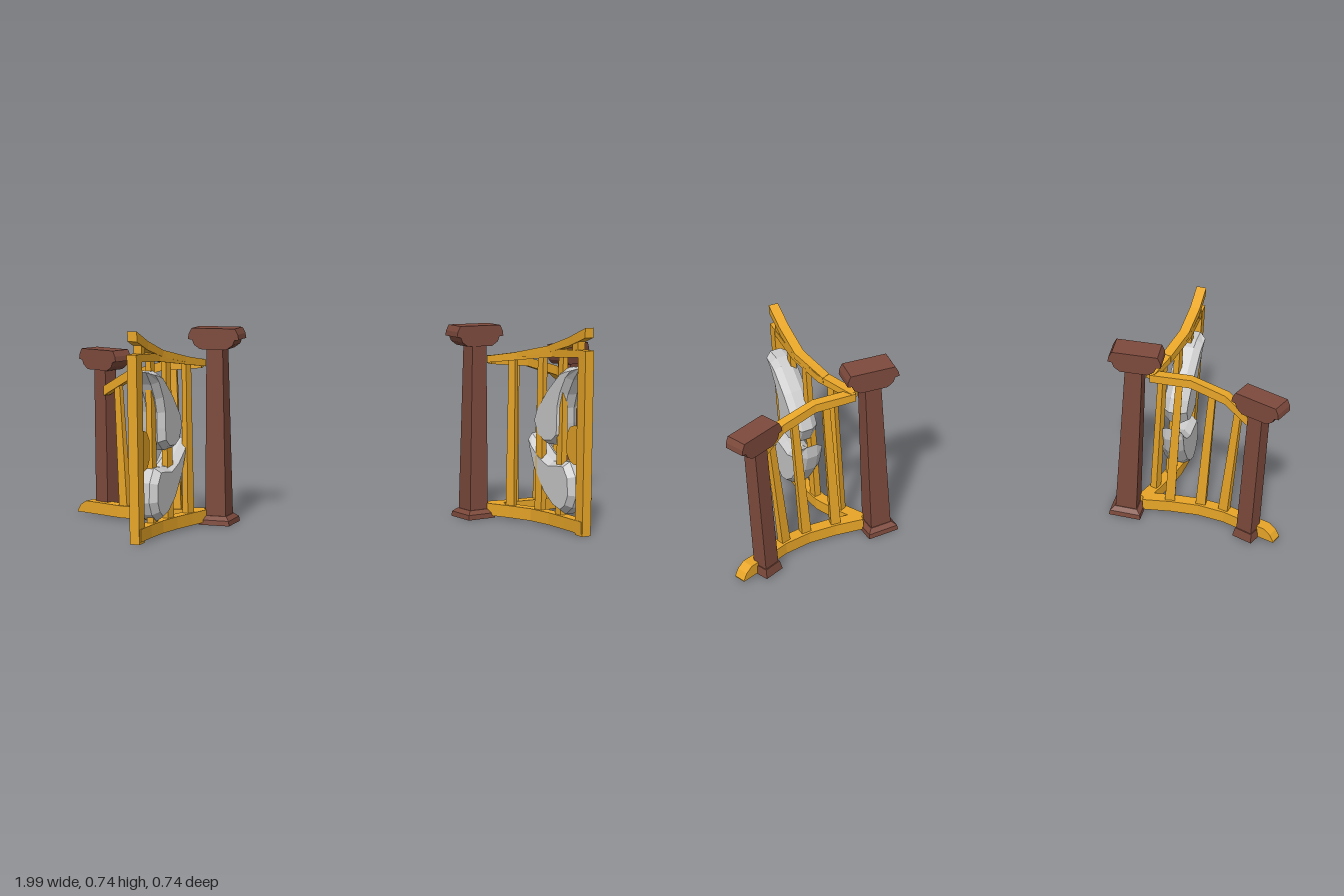
import * as THREE from 'three';

const mat = c => new THREE.MeshStandardMaterial({ color: c, flatShading: true });

// Sweeps a rectangle along a plan curve; sections are [t, bottom, top]
function rail(curve, sections, width) {
  const rings = sections.map(([t, lo, hi]) => {
    const p = curve.getPointAt(t), d = curve.getTangentAt(t);
    const r = new THREE.Vector3(-d.z, 0, d.x).multiplyScalar(width / 2);
    return [[-1, lo], [1, lo], [1, hi], [-1, hi]].map(([s, y]) => [p.x + s * r.x, y, p.z + s * r.z]);
  });
  const pos = [];
  const quad = (a, b, c, d) => pos.push(...a, ...b, ...c, ...a, ...c, ...d);
  quad(...rings[0]);
  quad(...[...rings[rings.length - 1]].reverse());
  for (let i = 0; i < rings.length - 1; i++) {
    const a = rings[i], b = rings[i + 1];
    for (let k = 0; k < 4; k++) quad(a[k], b[k], b[(k + 1) % 4], a[(k + 1) % 4]);
  }
  const g = new THREE.BufferGeometry();
  g.setAttribute('position', new THREE.Float32BufferAttribute(pos, 3));
  return g;
}

// Tapered upright; the top is narrowed and shifted along the curve
function upright(curve, t0, t1, y0, y1, w, d, taper = 1) {
  const a = curve.getPointAt(t0), b = curve.getPointAt(t1), dir = curve.getTangentAt(t0);
  const g = new THREE.BoxGeometry(w, 1, d), p = g.attributes.position;
  g.rotateY(Math.atan2(-dir.z, dir.x));
  for (let i = 0; i < p.count; i++) {
    const up = p.getY(i) > 0, c = up ? b : a, k = up ? taper : 1;
    p.setXYZ(i, c.x + p.getX(i) * k, up ? y1 : y0, c.z + p.getZ(i) * k);
  }
  return g;
}

// Four-sided tapered block standing at y0
function block(w0, d0, w1, d1, y0, y1) {
  const g = new THREE.BoxGeometry(1, 1, 1), p = g.attributes.position;
  for (let i = 0; i < p.count; i++) {
    const up = p.getY(i) > 0;
    p.setXYZ(i, p.getX(i) * (up ? w1 : w0), up ? y1 : y0, p.getZ(i) * (up ? d1 : d0));
  }
  return g;
}

// Scroll-ended capital, extruded across its width
function capital(depth, y) {
  const half = [[0.082, 0.076], [0.093, 0.055], [0.096, 0.036], [0.08, 0.034], [0.073, 0.016], [0.05, 0]];
  const pts = [...half, ...half.map(([x, h]) => [-x, h]).reverse()];
  const g = new THREE.ExtrudeGeometry(new THREE.Shape(pts.map(q => new THREE.Vector2(...q))), { depth, bevelEnabled: false });
  return g.translate(0, y, -depth / 2);
}

// Curved drop outlines as [z, y]; the first point is the tip
const DROPS = [
  [[0.276, 0.592], [0.225, 0.591], [0.19, 0.577], [0.12, 0.505], [0.065, 0.43], [0.047, 0.38], [0.075, 0.32],
    [0.115, 0.298], [0.165, 0.303], [0.2, 0.335], [0.203, 0.385], [0.202, 0.44], [0.215, 0.49], [0.242, 0.545]],
  [[0.022, 0.327], [0.024, 0.275], [0.05, 0.205], [0.11, 0.117], [0.165, 0.072], [0.215, 0.056], [0.25, 0.085],
    [0.268, 0.13], [0.262, 0.2], [0.232, 0.25], [0.19, 0.247], [0.145, 0.24], [0.1, 0.26], [0.06, 0.295]],
];

// Bevelled flat-faced drop set into the gate
function drop(outline, origin, dir) {
  const pts = outline.map(([z, y]) => new THREE.Vector2((z - 0.026) / 0.917, y));
  const g = new THREE.ExtrudeGeometry(new THREE.Shape(pts), {
    depth: 0.04, bevelThickness: 0.025, bevelSize: 0.017, bevelOffset: -0.017, bevelSegments: 1,
  });
  g.translate(0, 0, -0.065);
  const x = new THREE.Vector3(dir[0], 0, dir[1]).normalize(), y = new THREE.Vector3(0, 1, 0);
  const m = new THREE.Matrix4().makeBasis(x, y, x.clone().cross(y)).setPosition(origin[0], 0, origin[1]);
  return g.applyMatrix4(m);
}

const plan = pts => new THREE.CatmullRomCurve3(pts.map(([x, z]) => new THREE.Vector3(x, 0, z)));

export function createModel() {
  const model = new THREE.Group();
  model.name = 'gateway';
  const gold = mat(0xe8a628), brown = mat(0x7d4a3c), grey = mat(0xcccccc);

  const sides = [
    { name: 'left', sign: 1, gate: [[0.53, -0.055], [0.665, 0.067], [0.725, 0.165], [0.8, 0.357]],
      drop: [0.654, 0.05], dir: [0.4, 0.917], cap: 0.3 },
    { name: 'right', sign: -1, gate: [[0.53, -0.055], [0.645, 0.07], [0.715, 0.165], [0.783, 0.298]],
      drop: [0.59, 0.008], dir: [0.46, 0.89], cap: 0.38 },
  ];

  for (const side of sides) {
    const group = new THREE.Group();
    group.name = side.name + 'Side';
    model.add(group);

    const add = (name, geometry, material) => {
      const g = geometry.index ? geometry.toNonIndexed() : geometry;
      if (side.sign < 0) { // mirror and restore the winding
        const p = g.attributes.position;
        for (let i = 0; i < p.count; i += 3) {
          const v = [0, 2, 1].map(k => [-p.getX(i + k), p.getY(i + k), p.getZ(i + k)]);
          v.forEach((q, k) => p.setXYZ(i + k, ...q));
        }
      }
      g.computeVertexNormals();
      const mesh = new THREE.Mesh(g, material);
      mesh.name = name;
      group.add(mesh);
    };

    // Main post
    const main = (name, g, a, z) => add(name, g.rotateY(a).translate(0.475, 0, z), brown);
    main('mainPostBase', block(0.12, 0.115, 0.115, 0.11, 0, 0.018), 0.42, -0.052);
    main('mainPostFoot', block(0.115, 0.11, 0.085, 0.08, 0.018, 0.032), 0.42, -0.052);
    main('mainPostShaft', block(0.08, 0.075, 0.062, 0.058, 0.03, 0.66), 0.42, -0.052);
    main('mainPostCapital', capital(0.095, 0.643), Math.atan(side.cap), -0.064);

    // Outer post
    const outer = (name, g, z) => add(name, g.rotateY(Math.PI / 4).translate(0.883, 0, z), brown);
    outer('outerPostBase', block(0.08, 0.08, 0.068, 0.068, 0.006, 0.04), -0.267);
    outer('outerPostShaft', block(0.062, 0.06, 0.057, 0.055, 0.03, 0.57), -0.267);
    outer('outerPostCapital', capital(0.08, 0.549), -0.277);

    // Side fence between the posts
    const fence = plan([[0.53, -0.052], [0.69, -0.095], [0.8, -0.15], [0.885, -0.228], [0.98, -0.315]]);
    add('fenceBottomRail', rail(fence, [[0, 0.008, 0.053], [0.2, 0.008, 0.053], [0.4, 0.008, 0.053],
      [0.6, 0.008, 0.053], [0.8, 0.008, 0.053], [0.92, 0.008, 0.053], [0.97, 0.008, 0.036], [1, 0.008, 0.012]], 0.046), gold);
    add('fenceTopRail', rail(fence, [[0, 0.575, 0.605], [0.28, 0.562, 0.595], [0.53, 0.52, 0.555],
      [0.74, 0.458, 0.493]], 0.036), gold);
    [[0.19, 0.2, 0.58], [0.41, 0.43, 0.55], [0.58, 0.625, 0.505]].forEach(([a, b, y]) =>
      add('fenceBar', upright(fence, a, b, 0.045, y, 0.037, 0.028, 0.68), gold));

    // Open gate
    const gate = plan(side.gate);
    add('gateBottomRail', rail(gate, [0, 0.2, 0.4, 0.6, 0.8, 1].map(t => [t, 0.008, 0.053]), 0.042), gold);
    add('gateTopRail', rail(gate, [[0, 0.58, 0.605], [0.3, 0.6, 0.63], [0.6, 0.62, 0.65], [0.97, 0.635, 0.66]], 0.034), gold);
    add('gateHandrail', rail(gate, [[0.25, 0.605, 0.627], [0.55, 0.634, 0.659], [0.8, 0.668, 0.7], [1, 0.705, 0.74]], 0.036), gold);
    add('gateHandrailNeck', rail(gate, [[0.84, 0.645, 0.69], [0.91, 0.645, 0.7]], 0.03), gold);
    add('gateStile', upright(gate, 0.965, 0.965, 0, 0.66, 0.045, 0.036), gold);
    add('lockPlate', rail(gate, [[0.79, 0.285, 0.355], [0.83, 0.258, 0.382], [0.88, 0.25, 0.39], [0.94, 0.25, 0.39]], 0.03), gold);
    [[0.2, 0.6], [0.46, 0.62], [0.69, 0.635]].forEach(([t, y]) =>
      add('gateBar', upright(gate, t, t, 0.045, y, 0.034, 0.026, 0.8), gold));

    // Paired curved drops on the gate
    add('upperDrop', drop(DROPS[0], side.drop, side.dir), grey);
    add('lowerDrop', drop(DROPS[1], side.drop, side.dir), grey);
  }
  return model;
}
